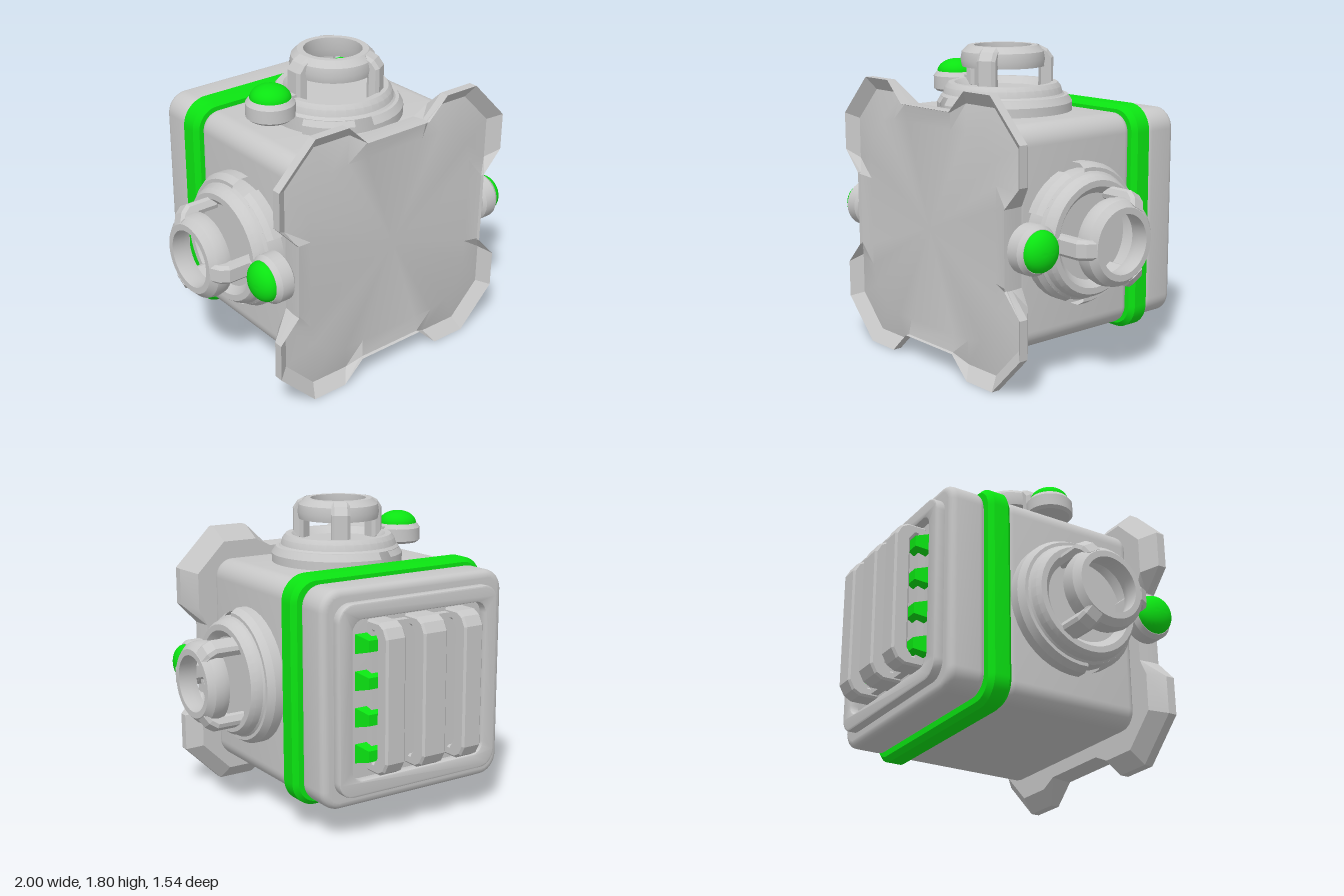
import * as THREE from 'three';
import { toCreasedNormals } from 'three/addons/utils/BufferGeometryUtils.js';

const grey = new THREE.MeshStandardMaterial({ color: 0xc8c8c8, side: THREE.DoubleSide });
grey.name = 'grey shell';
const green = new THREE.MeshStandardMaterial({ color: 0x0be412 });
green.name = 'bright green';
const CY = 0.81; // height of the cube's centre

function add(parent, name, geo, mat, crease = 0.5) {
  const m = new THREE.Mesh(toCreasedNormals(geo, crease), mat);
  m.name = name;
  parent.add(m);
  return m;
}
const v2 = (pts) => pts.map(([x, y]) => new THREE.Vector2(x, y));

function roundSquare(path, h, r) {
  path.moveTo(-h + r, -h).lineTo(h - r, -h);
  path.absarc(h - r, -h + r, r, -Math.PI / 2, 0);
  path.absarc(h - r, h - r, r, 0, Math.PI / 2);
  path.absarc(-h + r, h - r, r, Math.PI / 2, Math.PI);
  path.absarc(-h + r, -h + r, r, Math.PI, Math.PI * 1.5);
  return path;
}

// Extruded profile of total width w, centred on its plane, with chamfered edges
function chamfered(points, w, b) {
  const g = new THREE.ExtrudeGeometry(new THREE.Shape(v2(points)), {
    depth: w - 2 * b, bevelThickness: b, bevelSize: b, bevelOffset: -b, bevelSegments: 1,
  });
  return g.translate(0, 0, b - w / 2);
}

// Rounded square block between two depths, optionally with a square opening
function block(h, r, z0, z1, bevel, segs, hole) {
  const s = roundSquare(new THREE.Shape(), h, r);
  if (hole) s.holes.push(roundSquare(new THREE.Path(), hole, 0.07));
  const g = new THREE.ExtrudeGeometry(s, {
    depth: z1 - z0 - 2 * bevel, bevelThickness: bevel, bevelSize: bevel,
    bevelOffset: -bevel, bevelSegments: segs, curveSegments: 6,
  });
  return g.translate(0, CY, z0 + bevel);
}

// Notched front plate: rings of cross-sections with four flared corner tabs
function frontPlate() {
  const outer = [[0.68, 0.22], [0.803, 0.35], [0.803, 0.57], [0.57, 0.803], [0.35, 0.803], [0.22, 0.68]];
  const rear = [[0.67, 0.22], [0.72, 0.32], [0.72, 0.54], [0.54, 0.72], [0.32, 0.72], [0.22, 0.67]];
  const inner = [[0.675, 0.21], [0.73, 0.3], [0.73, 0.54], [0.54, 0.73], [0.3, 0.73], [0.21, 0.675]];
  const field = [[0.58, 0.2], [0.58, 0.33], [0.55, 0.45], [0.45, 0.55], [0.33, 0.58], [0.2, 0.58]];
  const isTab = (i) => i > 0 && i < 5;
  const rings = [
    [outer, 0, () => 0.64], [rear, 1, () => 0.64], [outer, 1, () => 0.715], [outer, 1, () => 0.768],
    [inner, 1, (i) => (isTab(i) ? 0.712 : 0.752)], [field, 1, () => 0.74], [field, 0, () => 0.745],
  ];
  const pos = [], idx = [], n = 24;
  for (const [pts, k, z] of rings)
    for (let q = 0; q < 4; q++)
      pts.forEach(([x, y], i) => {
        const c = [1, 0, -1, 0][q], s = [0, 1, 0, -1][q];
        pos.push(k * (x * c - y * s), 0.805 + k * (x * s + y * c), z(i));
      });
  for (let r = 0; r < rings.length - 1; r++)
    for (let i = 0; i < n; i++) {
      const a = r * n + i, b = r * n + ((i + 1) % n);
      idx.push(a, b, b + n, a, b + n, a + n);
    }
  const g = new THREE.BufferGeometry();
  g.setAttribute('position', new THREE.Float32BufferAttribute(pos, 3));
  g.setIndex(idx);
  return g;
}

// Port with stepped base, three posts, open collar and a lamp; its axis is local y
function makePort() {
  const port = new THREE.Group();
  const base = [[0.36, -0.02], [0.36, 0.085], [0.345, 0.1], [0.335, 0.135], [0.315, 0.16], [0.28, 0.16], [0.24, 0.12], [0, 0.12]];
  add(port, 'portBase', new THREE.LatheGeometry(v2(base), 40), grey, 0.4);

  // raised rim segments: a long one away from the lamp, two short ones beside it
  for (const [r, start, sweep] of [[0.4, -5, 190], [0.38, 200, 45], [0.38, 295, 45]]) {
    const rim = [[r - 0.05, -0.02], [r, -0.02], [r, 0.05], [r - 0.025, 0.09], [r - 0.06, 0.09]];
    const g = new THREE.LatheGeometry(v2(rim), Math.ceil(sweep / 9),
      THREE.MathUtils.degToRad(start), THREE.MathUtils.degToRad(sweep));
    add(port, 'portRim', g, grey);
  }

  const collar = [[0.18, 0.25], [0.235, 0.25], [0.243, 0.29], [0.235, 0.335], [0.2, 0.37], [0.165, 0.37], [0.165, 0.3], [0.18, 0.25]];
  add(port, 'portCollar', new THREE.LatheGeometry(v2(collar), 36), grey);

  // posts with a thick head gripping the collar and a slimmer leg
  const post = [[0.215, 0.11], [0.26, 0.11], [0.288, 0.15], [0.288, 0.3], [0.255, 0.345], [0.205, 0.37], [0.195, 0.26], [0.215, 0.24]];
  for (let i = 0; i < 3; i++) {
    const g = chamfered(post, 0.11, 0.018).rotateY(Math.PI + (i * Math.PI * 2) / 3);
    add(port, 'portPost', g, grey, 0.1);
  }

  // lamp puck held off the surface by a bracket
  const holder = [[0, 0.07], [0.12, 0.07], [0.138, 0.085], [0.138, 0.16], [0.118, 0.187], [0, 0.187]];
  add(port, 'lampHolder', new THREE.LatheGeometry(v2(holder), 28).translate(-0.435, 0, 0), grey);
  const dome = new THREE.SphereGeometry(0.115, 28, 10, 0, Math.PI * 2, 0, Math.PI / 2);
  add(port, 'lampDome', dome.scale(1, 0.66, 1).translate(-0.435, 0.185, 0), green);
  add(port, 'lampBracket', new THREE.BoxGeometry(0.09, 0.07, 0.08).translate(-0.285, 0.14, 0), grey);
  return port;
}

export function createModel() {
  const model = new THREE.Group();
  model.name = 'cubeModule';

  // cube body, seam band and rear section
  add(model, 'body', block(0.62, 0.11, -0.22, 0.635, 0.05, 4), grey);
  add(model, 'seamBand', block(0.66, 0.15, -0.352, -0.208, 0.027, 1), green);
  add(model, 'rearNeck', block(0.59, 0.1, -0.42, -0.34, 0.005, 1), grey);
  add(model, 'rearBlock', block(0.62, 0.12, -0.577, -0.355, 0.04, 4), grey);
  add(model, 'rearFrame', block(0.545, 0.1, -0.63, -0.56, 0.01, 2, 0.455), grey);
  add(model, 'rearPanel', new THREE.BoxGeometry(0.66, 0.82, 0.06).translate(0, 0.82, -0.592), grey);
  add(model, 'frontPlate', frontPlate(), grey, 0.4);

  // ports on top and both sides
  const top = makePort();
  top.name = 'topPort';
  top.position.set(0, 1.43, 0.205);
  model.add(top);
  for (const s of [1, -1]) {
    const side = makePort();
    side.name = s > 0 ? 'leftPort' : 'rightPort';
    side.quaternion.setFromRotationMatrix(new THREE.Matrix4().makeBasis(
      new THREE.Vector3(0, 0, -1), new THREE.Vector3(s, 0, 0), new THREE.Vector3(0, -s, 0)));
    side.position.set(s * 0.63, CY, 0.205);
    model.add(side);
  }

  // three arched bars across the rear opening
  const arch = [[0.57, 0.39], [0.69, 0.39], [0.735, 0.415], [0.765, 0.47], [0.765, 1.17], [0.735, 1.225], [0.69, 1.25], [0.57, 1.25],
    [0.57, 1.19], [0.64, 1.19], [0.67, 1.15], [0.67, 0.49], [0.64, 0.45], [0.57, 0.45]];
  for (const [x, w] of [[-0.265, 0.13], [0, 0.16], [0.265, 0.13]])
    add(model, 'rearBar', chamfered(arch, w, 0.012).rotateY(Math.PI / 2).translate(x, 0, 0), grey, 0.1);

  // green studs in a column at each side of the opening
  for (const s of [1, -1])
    for (let i = 0; i < 4; i++) {
      const g = new THREE.CylinderGeometry(0.045, 0.082, 0.1, 4).rotateY(Math.PI / 4);
      g.rotateX(-Math.PI / 2).scale(1.3, 1, 1);
      add(model, 'rearStud', g.translate(s * 0.335, 0.5 + i * 0.207, -0.615), green, 0.1);
    }
  return model;
}
